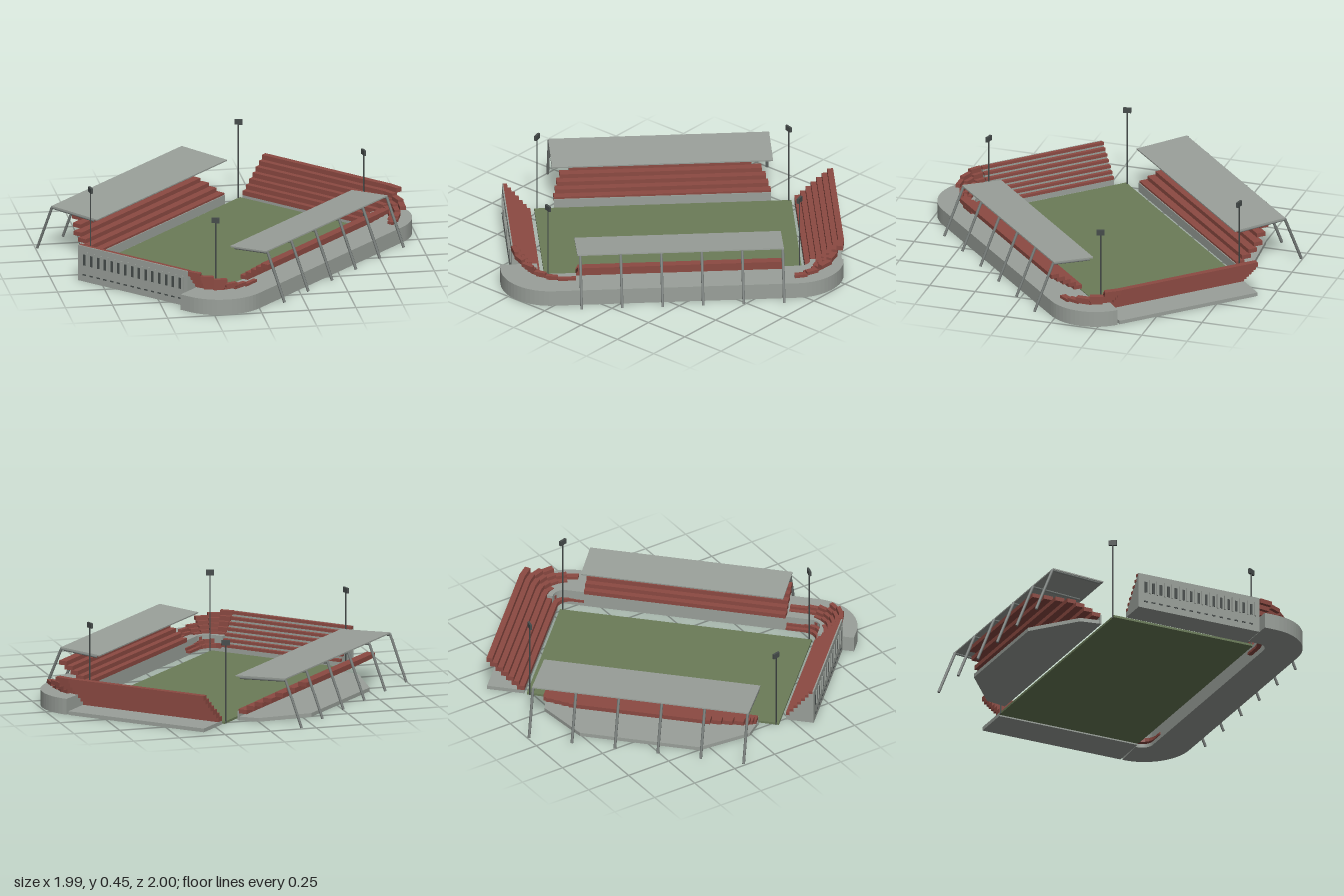
import * as THREE from 'three';

const material = (name, color) => {
  const m = new THREE.MeshStandardMaterial({ color });
  m.name = name;
  return m;
};

export function createModel() {
  const concrete = material('concrete', 0x9aa09a);
  const seats = material('brick red seats', 0x8c4a42);
  const grass = material('grass', 0x6b7c58);
  const steel = material('steel', 0x787e7b);
  const dark = material('dark metal', 0x464c4b);

  const model = new THREE.Group();
  // Local axes: x runs along the pitch, z across it
  const ground = new THREE.Group();
  ground.name = 'stadium';
  ground.rotation.y = THREE.MathUtils.degToRad(44.5);
  model.add(ground);

  const add = (name, geometry, mat) => {
    const mesh = new THREE.Mesh(geometry, mat);
    mesh.name = name;
    ground.add(mesh);
    return mesh;
  };
  const box = (name, x0, x1, y0, y1, z0, z1, mat) =>
    add(name, new THREE.BoxGeometry(x1 - x0, y1 - y0, z1 - z0), mat)
      .position.set((x0 + x1) / 2, (y0 + y1) / 2, (z0 + z1) / 2);
  // Plan shape (x, z) raised from y0 to y1
  const slab = (name, shape, y0, y1, mat) => {
    const g = new THREE.ExtrudeGeometry(shape, { depth: y1 - y0, bevelEnabled: false, curveSegments: 8 });
    g.rotateX(Math.PI / 2).translate(0, y1, 0);
    return add(name, g.toNonIndexed(), mat);
  };
  const polygon = (pts) => new THREE.Shape(pts.map(([x, z]) => new THREE.Vector2(x, z)));
  const rod = (name, a, b, radius, mat) => {
    const from = new THREE.Vector3(...a), to = new THREE.Vector3(...b);
    const dir = to.clone().sub(from);
    const mesh = add(name, new THREE.CylinderGeometry(radius, radius, dir.length(), 6), mat);
    mesh.position.copy(from).add(to).multiplyScalar(0.5);
    mesh.quaternion.setFromUnitVectors(new THREE.Vector3(0, 1, 0), dir.normalize());
  };

  // Pitch
  box('pitch', -0.675, 0.675, 0, 0.012, -0.425, 0.385, grass);

  // U-shaped concrete base with rounded corners
  const base = new THREE.Shape();
  base.moveTo(0.89, 0.388);
  base.absarc(0.63, 0.4, 0.26, 0, Math.PI / 2, false);
  base.lineTo(-0.65, 0.66);
  base.absarc(-0.65, 0.4, 0.26, Math.PI / 2, Math.PI, false);
  base.lineTo(-0.91, 0.34);
  base.lineTo(-0.715, 0.34);
  base.absarc(-0.655, 0.4, 0.06, Math.PI, Math.PI / 2, true);
  base.lineTo(0.655, 0.46);
  base.absarc(0.655, 0.4, 0.06, Math.PI / 2, 0, true);
  base.lineTo(0.715, 0.388);
  slab('concourseBase', base, 0, 0.085, concrete);

  // Right end stand: open overhanging tiers over a thin slab
  const ROWS = 7;
  const rowY = (i) => 0.02 + 0.025 * i;
  box('northEndSlab', 0.69, 0.89, 0, 0.02, -0.418, 0.388, concrete);
  for (let i = 0; i < ROWS; i++) {
    const x = 0.69 + 0.0286 * i;
    box('northEndTier', x, Math.min(x + 0.04, 0.893), rowY(i), rowY(i + 1), -0.418, 0.388, seats);
  }

  // Left end stand: closed body with seat rows on top
  const profile = [[-0.7, 0], [-0.845, 0], [-0.845, 0.19]];
  for (let i = ROWS - 1; i >= 0; i--) {
    const x = -0.7 - 0.0203 * i;
    profile.push([x - 0.0203, rowY(i) + 0.01], [x, rowY(i) + 0.01]);
    box('southEndTier', x - 0.0203, x, rowY(i) + 0.01, rowY(i + 1), -0.368, 0.34, seats);
  }
  profile.splice(2, 1, [-0.845, rowY(6) + 0.01]);
  const body = new THREE.ExtrudeGeometry(polygon(profile), { depth: 0.703, bevelEnabled: false });
  add('southEndBody', body, concrete).position.z = -0.366;
  box('southEndWall', -0.849, -0.842, 0, 0.195, -0.368, 0.34, concrete);
  for (let i = 0; i < 15; i++) {
    const z = -0.325 + i * 0.044;
    box('wallWindow', -0.852, -0.848, 0.09, 0.15, z - 0.007, z + 0.007, dark);
    box('wallVent', -0.852, -0.848, 0.034, 0.041, z - 0.01, z + 0.01, dark);
    box('wallRib', -0.856, -0.848, 0.085, 0.165, z + 0.018, z + 0.026, concrete);
  }

  // Long stand on the concourse
  for (let i = 0; i < 5; i++) {
    const z = 0.445 + 0.033 * i;
    box('mainTier', -0.52, 0.56, 0.083 + 0.0225 * i, 0.1055 + 0.0225 * i, z, z + 0.045, seats);
  }

  // Corner seating, stepping down wedge by wedge towards the long stand
  const corner = (side, cx, cz, inner, pitch, endRows, endX) => {
    const wedges = 5;
    for (let k = 0; k <= wedges; k++) {
      const t = k / wedges;
      const drop = 1 - 0.45 * t;
      const rows = Math.round(ROWS + (endRows - ROWS) * t);
      for (let i = 0; i < rows; i++) {
        const r0 = inner + pitch * i, r1 = r0 + pitch * 1.15;
        const y0 = rowY(i) * drop + 0.01 * t, y1 = rowY(i + 1) * drop + 0.01 * t;
        if (k === wedges) {
          const xs = [cx, endX].sort((a, b) => a - b);
          box('cornerTier', xs[0], xs[1], y0, y1, cz + r0, cz + r1, seats);
          continue;
        }
        const a0 = (k / wedges) * Math.PI / 2, a1 = ((k + 1) / wedges) * Math.PI / 2;
        const p = (r, a) => [cx + side * r * Math.cos(a), cz + r * Math.sin(a)];
        slab('cornerTier', polygon([p(r0, a0), p(r1, a0), p(r1, a1), p(r0, a1)]), y0, y1, seats);
      }
    }
  };
  corner(1, 0.62, 0.385, 0.07, 0.0286, 4, 0.562);
  corner(-1, -0.62, 0.345, 0.085, 0.0203, 6, -0.525);

  // Far long stand: chamfered slab, low front wall and tiers that shorten upwards
  slab('farSlab', polygon([[-0.57, -0.445], [0.57, -0.445], [0.55, -0.56], [0.32, -0.75],
    [-0.32, -0.75], [-0.55, -0.56]]), 0, 0.02, concrete);
  box('farFrontWall', -0.57, 0.57, 0, 0.05, -0.455, -0.445, concrete);
  for (let i = 0; i < ROWS; i++) {
    const z = -0.45 - 0.042 * i;
    const half = z > -0.55 ? 0.57 - 0.01 * i : 0.55 - (-0.56 - z) * 1.22;
    box('farTier', -half, half, 0.038 + 0.0225 * i, 0.0605 + 0.0225 * i, z - 0.05, z, seats);
  }

  // Sloping roofs on raking posts
  const roof = (x0, x1, zIn, yIn, zOut, yOut, zFoot, postFrom, postTo) => {
    const run = zOut - zIn, rise = yOut - yIn;
    const plate = add('roof', new THREE.BoxGeometry(x1 - x0, 0.007, Math.hypot(run, rise)), concrete);
    plate.position.set((x0 + x1) / 2, (yIn + yOut) / 2, (zIn + zOut) / 2);
    plate.rotation.x = -Math.atan(rise / run);
    for (let i = 0; i < 6; i++) {
      const x = postFrom + (postTo - postFrom) * i / 5;
      rod('roofPost', [x, 0.004, zFoot], [x, yOut - 0.004, zOut], 0.008, steel);
      rod('roofBeam', [x, yOut - 0.009, zOut], [x, yIn - 0.009, zIn + run * 0.08], 0.006, steel);
    }
  };
  roof(-0.522, 0.562, 0.38, 0.248, 0.61, 0.266, 0.72, -0.507, 0.556);
  roof(-0.58, 0.58, -0.44, 0.24, -0.733, 0.256, -0.83, -0.575, 0.575);

  // Floodlights at the pitch corners
  for (const x of [-0.66, 0.66]) for (const z of [-0.424, 0.385]) {
    rod('floodlightPole', [x, 0, z], [x, 0.43, z], 0.004, dark);
    const head = add('floodlightHead', new THREE.BoxGeometry(0.042, 0.028, 0.012), dark);
    head.position.set(x, 0.434, z);
    head.rotation.y = Math.atan2(-x, -z);
  }

  return model;
}
